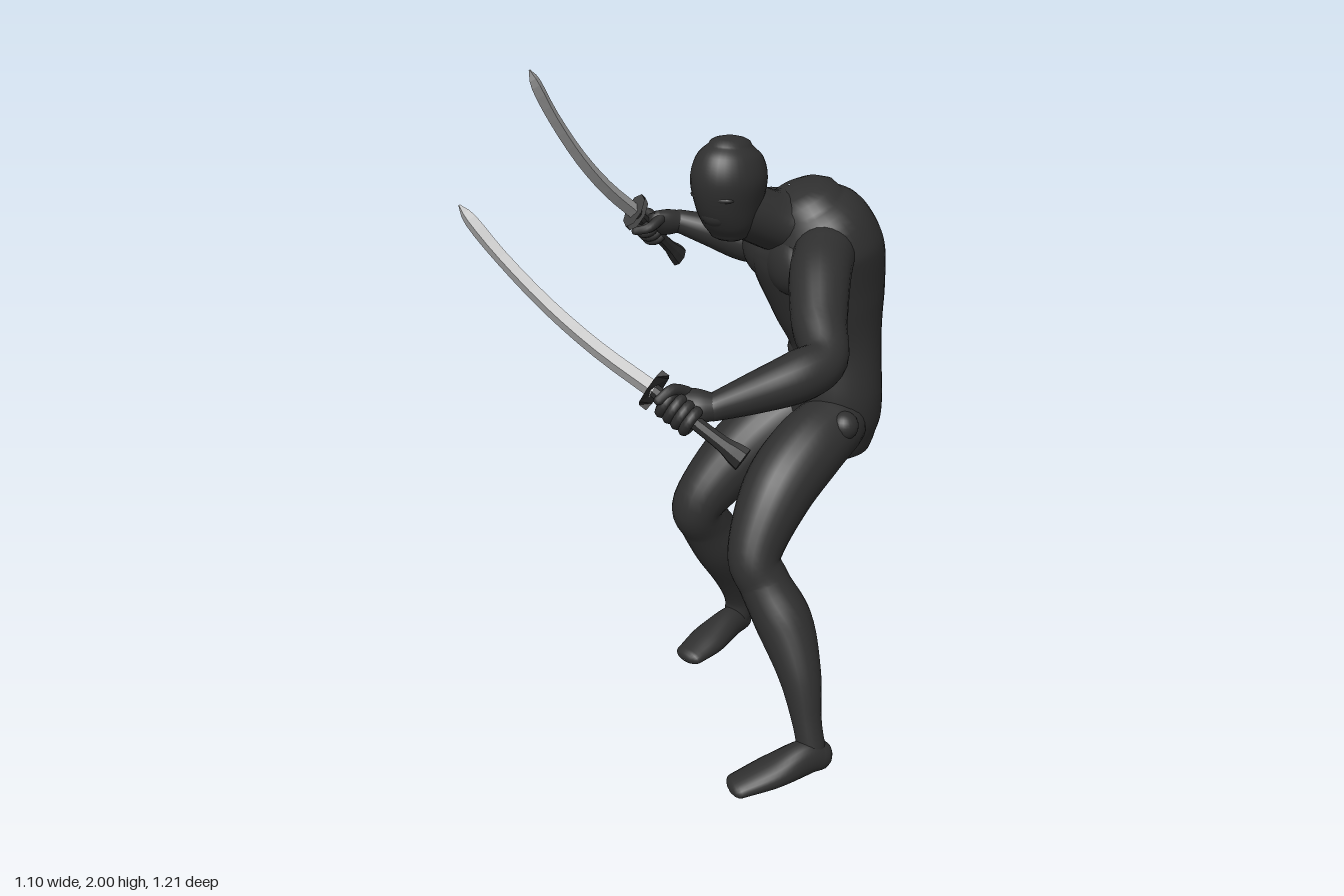
import * as THREE from 'three';

const V = (a) => new THREE.Vector3(a[0], a[1], a[2]);

// Skin of elliptical rings along a smooth path. Each section is [x, y, z, a, b]:
// a is the radius along the side vector, b the radius across it.
function loft(sections, side, { n = 24, steps = 6, round = 1, flat = false } = {}) {
  const path = new THREE.CatmullRomCurve3(sections.map(V), false, 'catmullrom', 0.5);
  const size = new THREE.CatmullRomCurve3(
    sections.map((s) => new THREE.Vector3(s[3], s[4] ?? s[3], 0)), false, 'catmullrom', 0.5);
  const pos = [], index = [];
  let rings = 0;
  const ring = (t, scale, shift) => {
    const T = path.getTangent(t), p = path.getPoint(t), r = size.getPoint(t);
    const s = V(side).addScaledVector(T, -V(side).dot(T)).normalize();
    const u = new THREE.Vector3().crossVectors(T, s);
    p.addScaledVector(T, shift * Math.min(r.x, r.y) * round);
    for (let j = 0; j < n; j++) {
      const q = (j / n) * Math.PI * 2;
      const v = p.clone().addScaledVector(s, Math.cos(q) * r.x * scale)
        .addScaledVector(u, Math.sin(q) * r.y * scale);
      pos.push(v.x, v.y, v.z);
    }
    rings++;
  };
  const capAngles = round ? [1.55, 1.2, 0.8, 0.4] : [1.55];
  for (const c of capAngles) ring(0, Math.cos(c), -Math.sin(c));
  const count = (sections.length - 1) * steps;
  for (let i = 0; i <= count; i++) ring(i / count, 1, 0);
  for (const c of [...capAngles].reverse()) ring(1, Math.cos(c), Math.sin(c));
  for (let i = 0; i < rings - 1; i++) {
    for (let j = 0; j < n; j++) {
      const k = (j + 1) % n, a = i * n + j, b = i * n + k;
      index.push(a, b, a + n, b, b + n, a + n);
    }
  }
  let g = new THREE.BufferGeometry();
  g.setAttribute('position', new THREE.Float32BufferAttribute(pos, 3));
  g.setIndex(index);
  if (flat) g = g.toNonIndexed();
  g.computeVertexNormals();
  return g;
}

export function createModel() {
  const suit = new THREE.MeshStandardMaterial({ color: 0x2f2f2f });
  const grip = new THREE.MeshStandardMaterial({ color: 0x2a2a2a });
  const steel = new THREE.MeshStandardMaterial({ color: 0xa9a9a9 });
  suit.name = 'suit';
  grip.name = 'grip';
  steel.name = 'steel';
  const model = new THREE.Group();
  model.name = 'swordFighter';

  const add = (name, geometry, material = suit, parent = model) => {
    const m = new THREE.Mesh(geometry, material);
    m.name = name;
    parent.add(m);
    return m;
  };
  const blob = (name, p, r, yaw = 0) => {
    const m = add(name, new THREE.SphereGeometry(1, 24, 16));
    m.position.set(...p);
    m.scale.set(...r);
    m.rotation.y = yaw;
  };

  // Torso, turned towards its right, with the right shoulder raised
  const across = [0.86, 0, 0.5], yaw = -0.53;
  add('torso', loft([
    [0.19, 0.835, -0.365, 0.14, 0.122], [0.19, 0.91, -0.358, 0.16, 0.145],
    [0.195, 1.0, -0.352, 0.163, 0.145], [0.19, 1.15, -0.357, 0.152, 0.138],
    [0.165, 1.28, -0.348, 0.185, 0.17], [0.13, 1.42, -0.338, 0.233, 0.195],
    [0.11, 1.51, -0.32, 0.225, 0.178], [0.083, 1.575, -0.3, 0.165, 0.13],
  ], across, { n: 36, round: 0.55 }));
  // Point at a distance across and forward of a torso centre
  const onTorso = (c, s, f) => [c[0] + 0.86 * s - 0.5 * f, c[1], c[2] + 0.5 * s + 0.86 * f];
  for (const s of [-1, 1]) {
    const label = s > 0 ? 'left' : 'right';
    blob(label + 'Pectoral', onTorso([0.12, 1.43, -0.33], s * 0.085, 0.128), [0.11, 0.085, 0.055], yaw);
    [[0.185, 1.13, 0.106], [0.18, 1.2, 0.118], [0.16, 1.27, 0.142]].forEach(([x, y, f]) =>
      blob(label + 'Abdominal', onTorso([x, y, -0.352], s * 0.035, f), [0.045, 0.04, 0.025], yaw));
  }
  blob('leftHipKnob', [0.32, 0.95, -0.215], [0.045, 0.045, 0.045]);
  blob('rightHipKnob', [0.04, 0.94, -0.38], [0.045, 0.045, 0.045]);

  // Neck and masked head
  add('neck', loft([[0.09, 1.525, -0.3, 0.17, 0.11], [0.05, 1.55, -0.2, 0.115, 0.088],
    [0.01, 1.61, -0.09, 0.083]], [1, 0, 0.3]));
  add('head', loft([
    [0, 1.535, -0.06, 0.06, 0.05], [0, 1.57, -0.06, 0.08, 0.078], [0, 1.625, -0.06, 0.094, 0.105],
    [0, 1.7, -0.06, 0.106, 0.12], [0, 1.76, -0.062, 0.09, 0.105], [0, 1.795, -0.065, 0.058, 0.068],
  ], [1, 0, 0], { n: 32, round: 0.4 }));
  blob('brow', [0, 1.66, 0.017], [0.075, 0.016, 0.034]);
  blob('mouthCover', [0, 1.605, -0.008], [0.055, 0.04, 0.045]);

  // Arms
  add('leftArm', loft([
    [0.245, 1.48, -0.19, 0.09], [0.295, 1.445, -0.095, 0.088], [0.372, 1.365, 0.02, 0.078],
    [0.445, 1.305, 0.105, 0.066], [0.425, 1.28, 0.19, 0.071], [0.365, 1.255, 0.3, 0.057], [0.305, 1.235, 0.41, 0.038],
  ], [0, 1, 0]));
  add('rightArm', loft([
    [-0.04, 1.51, -0.34, 0.09], [-0.095, 1.48, -0.39, 0.088], [-0.16, 1.39, -0.48, 0.075],
    [-0.21, 1.34, -0.54, 0.066], [-0.27, 1.35, -0.5, 0.068], [-0.35, 1.385, -0.43, 0.053],
    [-0.43, 1.415, -0.37, 0.038],
  ], [0, 1, 0]));

  // Legs
  add('leftLeg', loft([
    [0.25, 0.92, -0.26, 0.105], [0.237, 0.87, -0.13, 0.114], [0.225, 0.78, 0, 0.108],
    [0.23, 0.63, 0.115, 0.082], [0.27, 0.54, 0.118, 0.078], [0.345, 0.43, 0.118, 0.086],
    [0.425, 0.3, 0.15, 0.065], [0.475, 0.17, 0.18, 0.045], [0.5, 0.09, 0.19, 0.043],
  ], [1, 0, 0]));
  add('rightLeg', loft([
    [0.1, 0.92, -0.34, 0.107], [0.02, 0.85, -0.24, 0.115], [-0.045, 0.75, -0.13, 0.105],
    [-0.095, 0.63, -0.03, 0.083], [-0.1, 0.54, -0.073, 0.083], [-0.088, 0.43, -0.14, 0.09],
    [-0.088, 0.29, -0.212, 0.07], [-0.09, 0.18, -0.245, 0.05], [-0.09, 0.11, -0.24, 0.045],
  ], [1, 0, 0]));

  // Feet, heel to toe
  add('leftFoot', loft([
    [0.52, 0.06, 0.175, 0.04, 0.048], [0.495, 0.068, 0.22, 0.047, 0.057],
    [0.445, 0.05, 0.31, 0.06, 0.042], [0.385, 0.03, 0.41, 0.05, 0.025],
  ], [0.87, 0, 0.5]));
  add('rightFoot', loft([
    [-0.088, 0.09, -0.25, 0.04, 0.045], [-0.09, 0.1, -0.19, 0.047, 0.053],
    [-0.095, 0.087, -0.08, 0.062, 0.042], [-0.1, 0.075, 0.017, 0.052, 0.025],
  ], [1, 0, 0]));

  // Curved sword with the hand that holds it
  const swordAndHand = (label, guard, pommel, tip, bend, sag, hold, wrist) => {
    const G = V(guard), P = V(pommel), E = V(tip), B = V(bend).normalize(), H = V(hold), W = V(wrist);
    const sword = new THREE.Group();
    sword.name = label + 'Sword';
    model.add(sword);
    const blade = [0, 0.25, 0.5, 0.75, 0.93, 1].map((t) => {
      const p = G.clone().lerp(E, t).addScaledVector(B, 4 * t * (1 - t) * sag);
      return [p.x, p.y, p.z, t === 1 ? 0.003 : 0.025 - t * 0.005, t === 1 ? 0.002 : 0.014];
    });
    add('blade', loft(blade, bend, { n: 4, steps: 3, round: 0, flat: true }), steel, sword);

    const along = G.clone().sub(P).normalize();
    const handle = [[0, 0.036, 0.022], [0.1, 0.032, 0.02], [0.3, 0.022, 0.016], [1, 0.02, 0.016]]
      .map(([t, a, b]) => [...P.clone().lerp(G, t).toArray(), a, b]);
    add('handle', loft(handle, bend, { n: 8, round: 0, flat: true }), grip, sword);
    const disc = [-0.012, 0.012].map((d) => [...G.clone().addScaledVector(along, d).toArray(), 0.06, 0.03]);
    add('guard', loft(disc, bend, { n: 8, steps: 1, round: 0, flat: true }), grip, sword);

    const hand = new THREE.Group();
    hand.name = label + 'Hand';
    model.add(hand);
    const toWrist = W.clone().sub(H);
    toWrist.addScaledVector(along, -toWrist.dot(along)).normalize();
    const up = new THREE.Vector3().crossVectors(along, toWrist);
    const palmEnd = H.clone().addScaledVector(toWrist, 0.025);
    const palmMid = W.clone().lerp(palmEnd, 0.5);
    add('palm', loft([[...wrist, 0.038, 0.036], [...palmMid.toArray(), 0.048, 0.036],
      [...palmEnd.toArray(), 0.05, 0.03]], along.toArray()), suit, hand);
    // Fingers curl round the handle
    for (let i = 0; i < 4; i++) {
      const finger = add('finger', new THREE.TorusGeometry(0.032, 0.0155, 8, 20, 5.3), suit, hand);
      const c = H.clone().addScaledVector(along, (i - 1.5) * 0.026);
      finger.applyMatrix4(new THREE.Matrix4().makeBasis(toWrist, up, along).setPosition(c));
    }
    const thumb = [[0.05, -0.01, 0.02, 0.018], [0.015, -0.042, 0.045, 0.016], [-0.03, -0.035, 0.055, 0.013]]
      .map(([w, u, d, r]) => [...H.clone().addScaledVector(toWrist, w).addScaledVector(up, u)
        .addScaledVector(along, d).toArray(), r]);
    add('thumb', loft(thumb, along.toArray(), { n: 10 }), suit, hand);
  };
  swordAndHand('right', [-0.49, 1.47, -0.22], [-0.5, 1.26, -0.45], [-0.445, 2.0, 0.268],
    [0, -0.68, 0.73], 0.04, [-0.495, 1.405, -0.29], [-0.435, 1.415, -0.365]);
  swordAndHand('left', [0.175, 1.28, 0.5], [0.425, 1.13, 0.445], [-0.405, 1.7, 0.6],
    [-0.55, -0.75, 0.3], 0.035, [0.25, 1.235, 0.487], [0.3, 1.235, 0.415]);

  return model;
}
